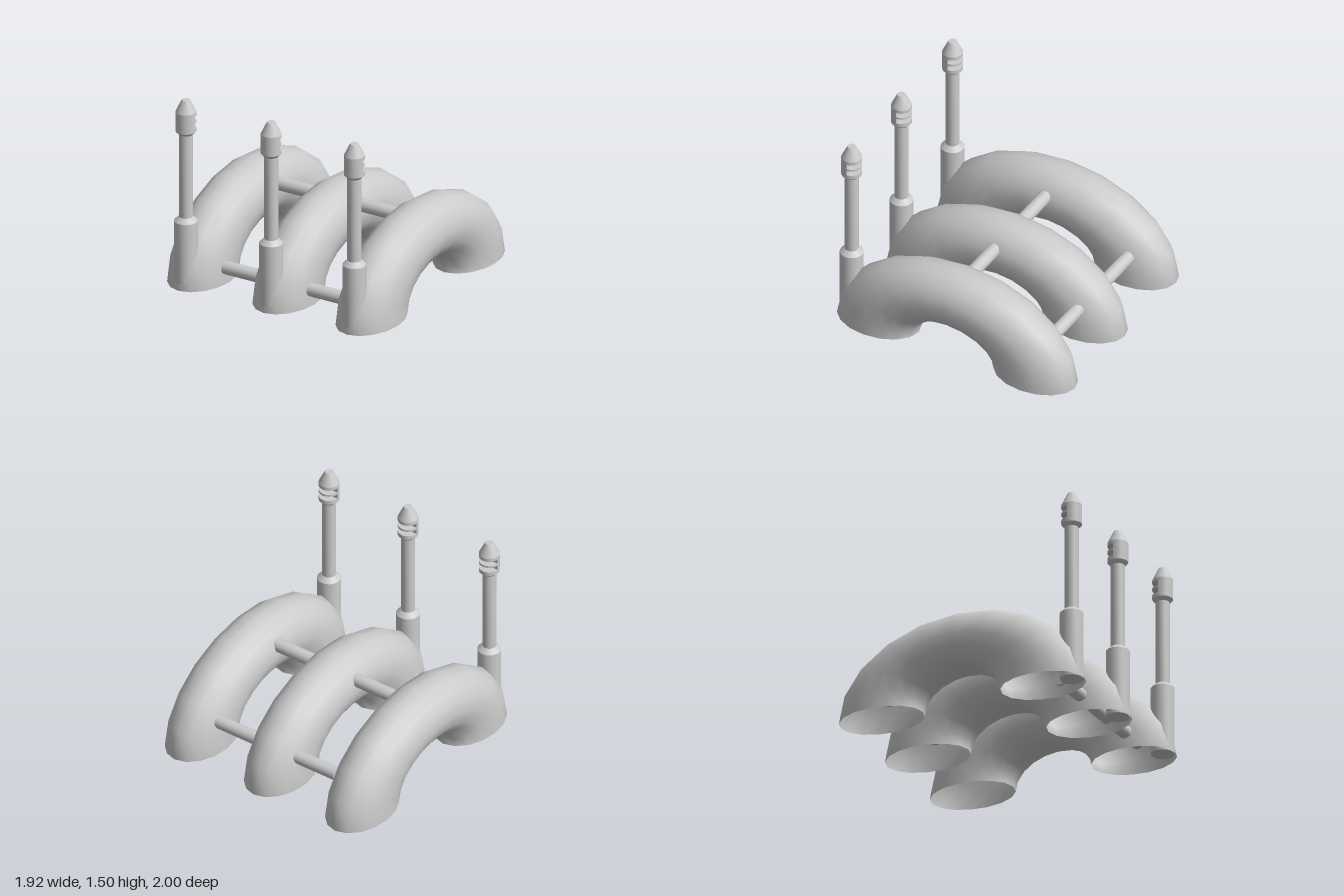
import * as THREE from 'three';
import { toCreasedNormals } from 'three/addons/utils/BufferGeometryUtils.js';

const SIDES = 24;
const material = new THREE.MeshStandardMaterial({ color: 0xcccccc });
const openMaterial = new THREE.MeshStandardMaterial({ color: 0xcccccc, side: THREE.DoubleSide });

function add(parent, name, geometry, mat = material) {
  const mesh = new THREE.Mesh(geometry, mat);
  mesh.name = name;
  parent.add(mesh);
  return mesh;
}

// Turned part from [radius, y] points, with sharp profile edges
function turned(points) {
  const profile = points.map(([r, y]) => new THREE.Vector2(r, y));
  return toCreasedNormals(new THREE.LatheGeometry(profile, SIDES), 0.35);
}

// Half a squashed ring, open at both feet, running front to back
function archGeometry() {
  const g = new THREE.TorusGeometry(0.665, 0.335, 16, 10, Math.PI);
  g.rotateY(Math.PI / 2);
  g.scale(0.23 / 0.335, 0.705, 1);
  return g;
}

// Upright post whose head is cut open at the back
function createPost() {
  const post = new THREE.Group();
  post.name = 'post';
  const cutBottom = 1.283, cutTop = 1.378, headRadius = 0.077;

  add(post, 'postShaft', turned([
    [0, 0], [0.088, 0], [0.088, 0.53], [0.052, 0.565], [0.052, 1.225],
    [headRadius, 1.25], [headRadius, cutBottom], [0, cutBottom],
  ]));

  // Front half of the head, beside the cut
  const half = new THREE.Shape();
  half.absarc(0, 0, headRadius, Math.PI, 2 * Math.PI, false);
  half.closePath();
  const wall = new THREE.ExtrudeGeometry(half, {
    depth: cutTop - cutBottom, bevelEnabled: false, curveSegments: SIDES / 2,
  });
  wall.rotateX(-Math.PI / 2);
  wall.translate(0, cutBottom, 0);
  add(post, 'headWall', toCreasedNormals(wall, 0.5));

  // Thin plate dividing the cut
  const fin = new THREE.CylinderGeometry(headRadius, headRadius, 0.016, SIDES);
  fin.translate(0, 1.331, 0);
  add(post, 'headFin', fin);

  add(post, 'headTip', turned([
    [0, cutTop], [headRadius, cutTop], [headRadius, 1.405], [0.031, 1.5], [0, 1.5],
  ]));
  return post;
}

export function createModel() {
  const model = new THREE.Group();
  model.name = 'archRack';

  // Three arches, each with a post on its front foot
  const arch = archGeometry();
  for (const x of [-0.735, 0.007, 0.73]) {
    add(model, 'arch', arch, openMaterial).position.x = x;
    const post = createPost();
    post.position.set(x, 0, 0.9);
    model.add(post);
  }

  // Cross rods joining the arches
  const left = 0.72, right = -0.54;
  const rod = new THREE.CylinderGeometry(0.051, 0.051, left - right, SIDES);
  rod.rotateZ(Math.PI / 2);
  for (const [name, y, z] of [
    ['frontRod', 0.13, 0.702], ['middleRod', 0.543, -0.003], ['backRod', 0.255, -0.707],
  ]) {
    add(model, name, rod).position.set((left + right) / 2, y, z);
  }
  return model;
}
